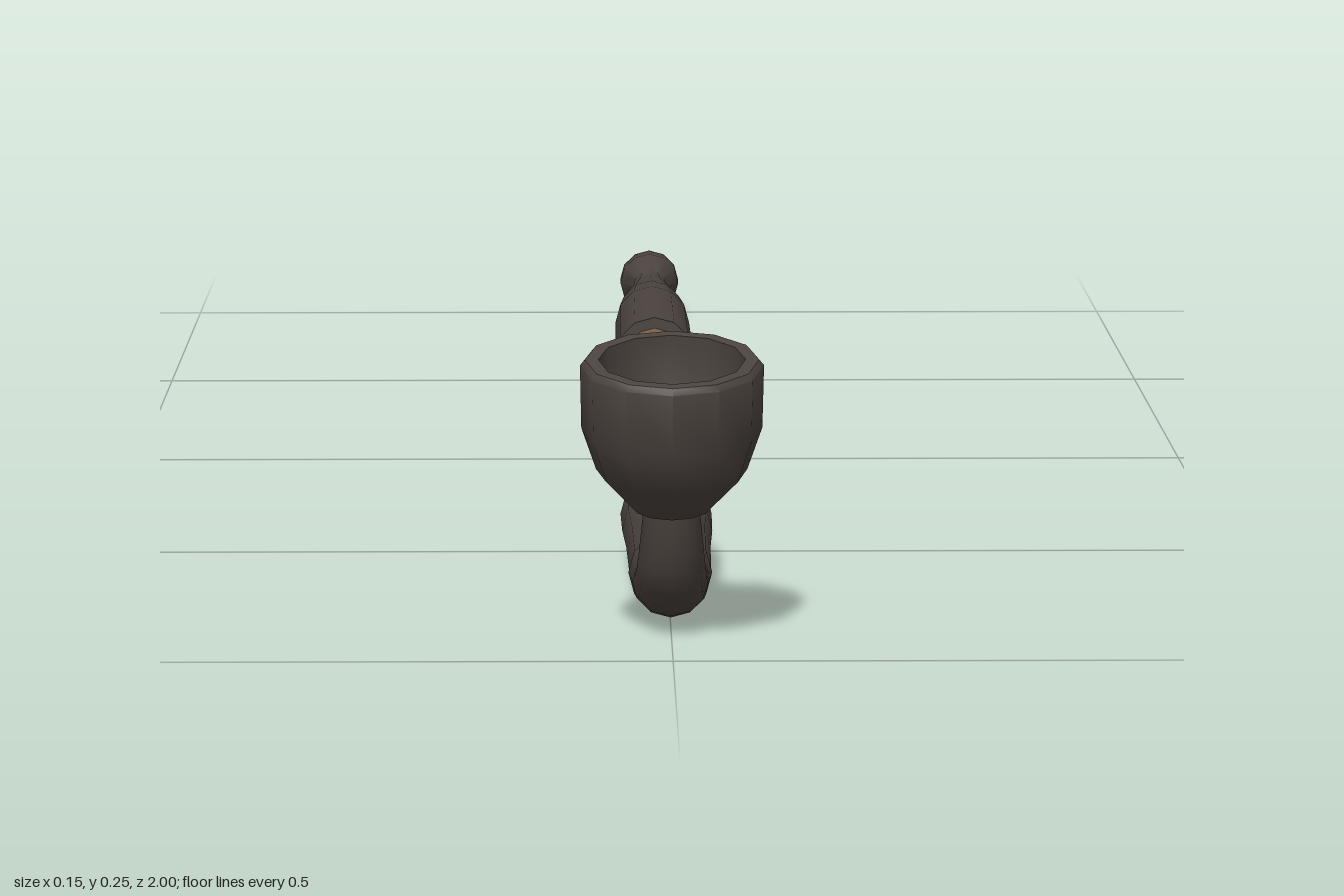
import * as THREE from 'three';
import { toCreasedNormals } from 'three/addons/utils/BufferGeometryUtils.js';

const SIDES = 12;
const AXIS_Y = 0.039; // height of the stem's centre line

export function createModel() {
  const metal = new THREE.MeshStandardMaterial({ name: 'dark metal', color: 0x4b433f });
  const wood = new THREE.MeshStandardMaterial({ name: 'brown wood', color: 0x7a634e });
  const scorch = new THREE.MeshStandardMaterial({ name: 'dark stain', color: 0x4d443f, side: THREE.DoubleSide });

  const group = new THREE.Group();
  const add = (name, geometry, material, parent = group) => {
    const mesh = new THREE.Mesh(geometry, material);
    mesh.name = name;
    parent.add(mesh);
    return mesh;
  };
  // Turned part from [radius, height] pairs, smooth around and sharp at hard edges
  const turned = (points) => toCreasedNormals(
    new THREE.LatheGeometry(points.map(([r, h]) => new THREE.Vector2(r, h)), SIDES), 0.68);
  // Turned part laid along z on the stem's centre line, pairs from back to front
  const alongStem = (name, points, material) =>
    add(name, turned(points).rotateX(Math.PI / 2).translate(0, AXIS_Y, 0), material);

  // Stem and its two metal sleeves
  alongStem('stem', [[0.029, -0.42], [0.029, 0.56]], wood);
  alongStem('mouthpiece', [
    [0, -1], [0.022, -1], [0.032, -0.98], [0.032, -0.95], [0.018, -0.92],
    [0.021, -0.86], [0.034, -0.72], [0.039, -0.64], [0.04, -0.4], [0.028, -0.4],
  ], metal);
  alongStem('frontSleeve', [
    [0.028, 0.535], [0.04, 0.535], [0.039, 0.62], [0.036, 0.7], [0.034, 0.83],
  ], metal);

  // Elbow: a tube narrowing as it bends up to the bowl
  const path = new THREE.CatmullRomCurve3([
    [0.82, AXIS_Y], [0.858, 0.04], [0.886, 0.055], [0.9, 0.085], [0.907, 0.12],
  ].map(([z, y]) => new THREE.Vector3(0, y, z)));
  const steps = 10;
  const elbow = new THREE.TubeGeometry(path, steps, 1, SIDES);
  const pos = elbow.attributes.position;
  const v = new THREE.Vector3();
  for (let i = 0; i < pos.count; i++) {
    const t = Math.floor(i / (SIDES + 1)) / steps;
    const centre = path.getPointAt(t);
    v.fromBufferAttribute(pos, i).sub(centre)
      .multiplyScalar(THREE.MathUtils.lerp(0.035, 0.022, t)).add(centre);
    pos.setXYZ(i, v.x, v.y, v.z);
  }
  add('elbow', elbow, metal);

  // Hollow bowl leaning forward
  const bowl = add('bowl', turned([
    [0, 0], [0.032, 0.003], [0.062, 0.036], [0.074, 0.072], [0.075, 0.126], [0.071, 0.131],
    [0.06, 0.131], [0.056, 0.085], [0.04, 0.055], [0, 0.045],
  ]), metal);
  bowl.position.set(0, 0.106, 0.902);
  bowl.rotation.x = 0.19;

  // Stains: thin ellipses wrapped around the wood
  const stain = (name, z, halfLength, angle, halfAngle) => {
    const disc = new THREE.RingGeometry(0, 1, 14, 4);
    const p = disc.attributes.position;
    for (let i = 0; i < p.count; i++) {
      const a = angle + p.getY(i) * halfAngle;
      p.setXYZ(i, 0.0302 * Math.cos(a), AXIS_Y + 0.0302 * Math.sin(a), z - p.getX(i) * halfLength);
    }
    disc.computeVertexNormals();
    add(name, disc, scorch);
  };
  stain('stainFront', 0.447, 0.035, 0.1, 0.7);
  stain('stainFrontTail', 0.485, 0.035, -0.25, 0.4);
  stain('stainMiddle', 0.33, 0.033, 0, 0.85);
  stain('stainBack', -0.32, 0.033, Math.PI, 0.85);

  return group;
}
